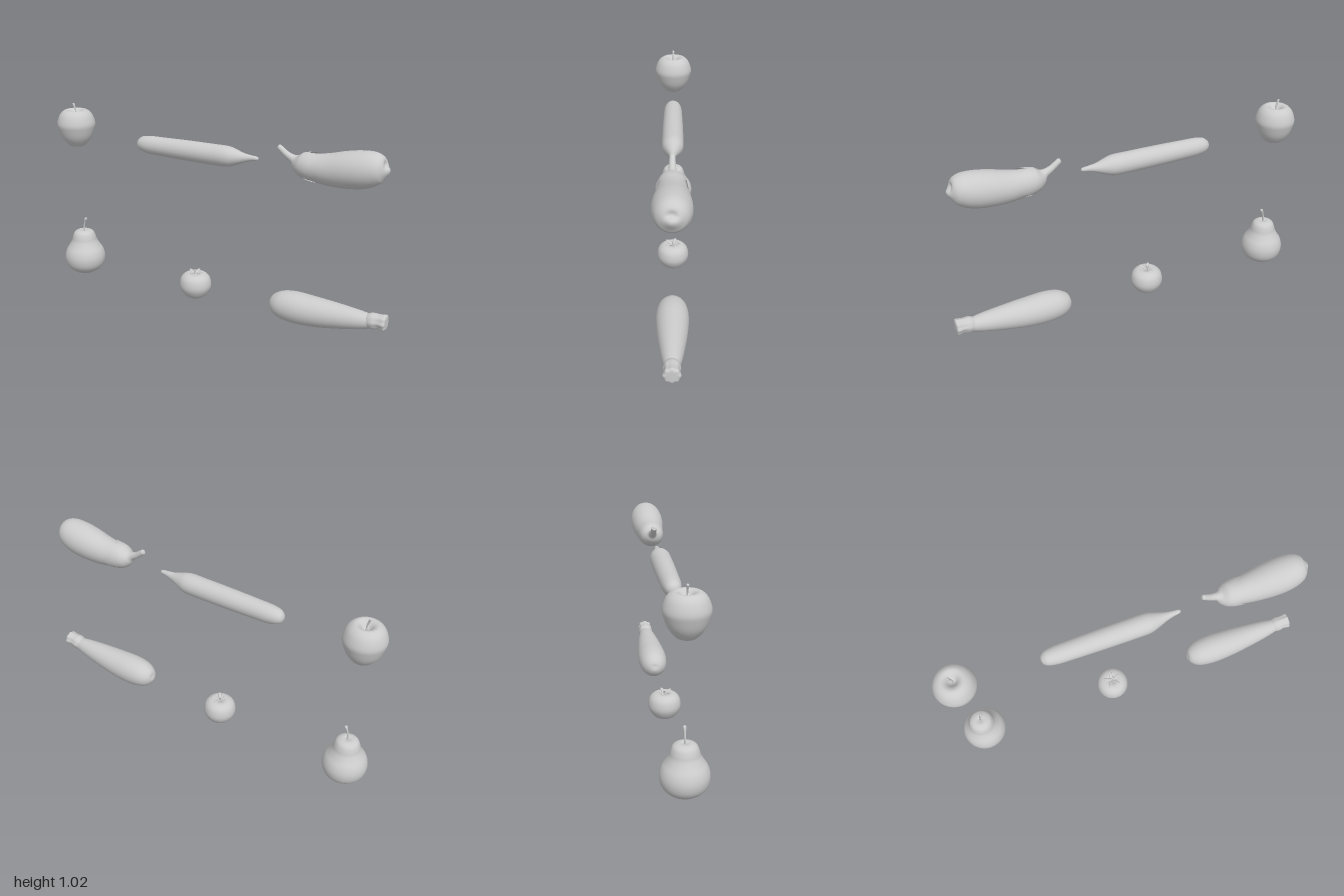
import * as THREE from 'three';
import { mergeVertices } from 'three/addons/utils/BufferGeometryUtils.js';

const material = new THREE.MeshStandardMaterial({ color: 0xcccccc });
const thin = new THREE.MeshStandardMaterial({ color: 0xcccccc, side: THREE.DoubleSide });

function part(name, geometry, mat = material) {
  const mesh = new THREE.Mesh(geometry, mat);
  mesh.name = name;
  return mesh;
}

function group(name, ...children) {
  const g = new THREE.Group();
  g.name = name;
  g.add(...children);
  return g;
}

// Smooth body turned around y; profile is [radius, height] from bottom to top.
function turned(profile, segments = 40) {
  const curve = new THREE.SplineCurve(profile.map(([r, y]) => new THREE.Vector2(r, y)));
  const points = curve.getPoints(50).map(p => new THREE.Vector2(Math.max(0, p.x), p.y));
  return new THREE.LatheGeometry(points, segments);
}

// Round body along a path in the xy plane; each station is [x, y, radius].
// zigzag cuts the far rim into points, flute ribs the surface, flat squashes z.
function swept(stations, { around = 32, steps = 60, flat = 1, zigzag = 0, points = 5, flute = 0, ribs = 8 } = {}) {
  const curve = new THREE.CatmullRomCurve3(stations.map(s => new THREE.Vector3(...s)));
  const positions = [], index = [];
  for (let j = 0; j <= steps; j++) {
    const u = j / steps;
    for (let i = 0; i < around; i++) {
      const a = (i / around) * Math.PI * 2;
      const phase = (i / around) * points % 1;
      const cut = zigzag * Math.abs(2 * phase - 1);
      const t = u * (1 - cut * u ** 3);
      const c = curve.getPoint(t);
      const d = curve.getPoint(Math.min(1, t + 0.002)).sub(curve.getPoint(Math.max(0, t - 0.002)));
      const len = Math.hypot(d.x, d.y) || 1;
      const r = Math.max(0, c.z) * (1 + flute * u * Math.cos(ribs * a));
      const n = r * Math.cos(a);
      positions.push(c.x - (d.y / len) * n, c.y + (d.x / len) * n, r * Math.sin(a) * flat);
      if (j < steps) {
        const p = j * around + i, q = j * around + (i + 1) % around;
        index.push(p, q, p + around, q, q + around, p + around);
      }
    }
  }
  const geometry = new THREE.BufferGeometry();
  geometry.setAttribute('position', new THREE.Float32BufferAttribute(positions, 3));
  geometry.setIndex(index);
  const merged = mergeVertices(geometry, 1e-5);
  merged.computeVertexNormals();
  return merged;
}

const stem = stations => part('stem', swept(stations, { around: 10, steps: 20 }));

function apple() {
  const body = part('appleBody', turned([
    [0, 0.79], [0.018, 0.786], [0.034, 0.779], [0.052, 0.788], [0.083, 0.828], [0.101, 0.875],
    [0.107, 0.912], [0.09, 0.96], [0.062, 0.984], [0.038, 0.98], [0.016, 0.958], [0, 0.948]]));
  const g = group('apple', body, stem([
    [0, 0.945, 0.004], [0, 0.975, 0.004], [-0.007, 1.0, 0.005], [-0.015, 1.02, 0.006], [-0.016, 1.022, 0]]));
  g.position.x = -0.893;
  return g;
}

function pear() {
  const body = part('pearBody', turned([
    [0, 0.012], [0.018, 0.008], [0.032, 0.002], [0.055, 0.009], [0.088, 0.03], [0.111, 0.062],
    [0.118, 0.105], [0.108, 0.145], [0.088, 0.177], [0.073, 0.205], [0.067, 0.228],
    [0.055, 0.254], [0.03, 0.266], [0.01, 0.263], [0, 0.26]]));
  const g = group('pear', body, stem([
    [0.002, 0.255, 0.005], [0.002, 0.285, 0.005], [0.008, 0.312, 0.005], [0.019, 0.34, 0.008], [0.021, 0.345, 0]]));
  g.position.x = -0.878;
  return g;
}

function tomato() {
  const body = part('tomatoBody', turned([
    [0, 0.008], [0.03, 0.01], [0.06, 0.027], [0.082, 0.06], [0.088, 0.09], [0.08, 0.125],
    [0.06, 0.146], [0.036, 0.152], [0.015, 0.145], [0, 0.141]]));
  const g = group('tomato', body, stem([
    [0, 0.138, 0.005], [0, 0.155, 0.004], [-0.005, 0.168, 0.006], [-0.006, 0.171, 0]]));
  // Curled sepals around the stem
  const leaf = swept([[0, 0.146, 0.002], [0.014, 0.152, 0.003], [0.03, 0.158, 0.003], [0.044, 0.161, 0.002], [0.05, 0.158, 0]],
    { around: 8, steps: 14, flat: 3 });
  for (let i = 0; i < 5; i++) {
    const sepal = part('sepal', leaf);
    sepal.rotation.y = (i / 5) * Math.PI * 2 + 0.3;
    g.add(sepal);
  }
  g.position.x = -0.107;
  return g;
}

function cucumber() {
  return group('cucumber', part('cucumberBody', swept([
    [-0.468, 0.853, 0], [-0.463, 0.852, 0.019], [-0.445, 0.849, 0.036], [-0.4, 0.846, 0.047],
    [-0.3, 0.845, 0.051], [-0.15, 0.845, 0.054], [0, 0.845, 0.055], [0.1, 0.846, 0.053],
    [0.15, 0.848, 0.038], [0.19, 0.851, 0.024], [0.23, 0.855, 0.015], [0.265, 0.856, 0.009], [0.273, 0.856, 0]])));
}

function zucchini() {
  const body = part('zucchiniBody', swept([
    [0.358, 0.092, 0], [0.363, 0.091, 0.028], [0.38, 0.09, 0.05], [0.417, 0.088, 0.071],
    [0.492, 0.088, 0.083], [0.6, 0.088, 0.08], [0.733, 0.095, 0.066], [0.84, 0.102, 0.051],
    [0.9, 0.107, 0.039], [0.935, 0.112, 0.03], [0.94, 0.112, 0]]));
  // Ribbed stub
  const stub = part('zucchiniStem', swept([
    [0.895, 0.106, 0.036], [0.925, 0.113, 0.042], [0.955, 0.117, 0.038], [0.988, 0.117, 0.041],
    [0.994, 0.117, 0.033], [0.995, 0.117, 0]], { flute: 0.09, around: 48 }), thin);
  return group('zucchini', body, stub);
}

function eggplant() {
  const body = part('eggplantBody', swept([
    [0.946, 0.909, 0], [0.94, 0.904, 0.035], [0.915, 0.9, 0.067], [0.88, 0.893, 0.083],
    [0.824, 0.88, 0.092], [0.75, 0.868, 0.091], [0.663, 0.857, 0.081], [0.588, 0.856, 0.07],
    [0.535, 0.86, 0.063], [0.497, 0.866, 0.044], [0.475, 0.872, 0]]));
  // Stem flaring into a pointed cap
  const cap = part('eggplantCap', swept([
    [0.378, 0.938, 0], [0.382, 0.936, 0.012], [0.4, 0.922, 0.015], [0.43, 0.9, 0.017],
    [0.465, 0.882, 0.024], [0.485, 0.872, 0.043], [0.505, 0.866, 0.058], [0.535, 0.861, 0.068],
    [0.57, 0.858, 0.073], [0.605, 0.857, 0.076]], { zigzag: 0.2, around: 60 }), thin);
  return group('eggplant', body, cap);
}

export function createModel() {
  return group('produce', apple(), pear(), tomato(), cucumber(), zucchini(), eggplant());
}
